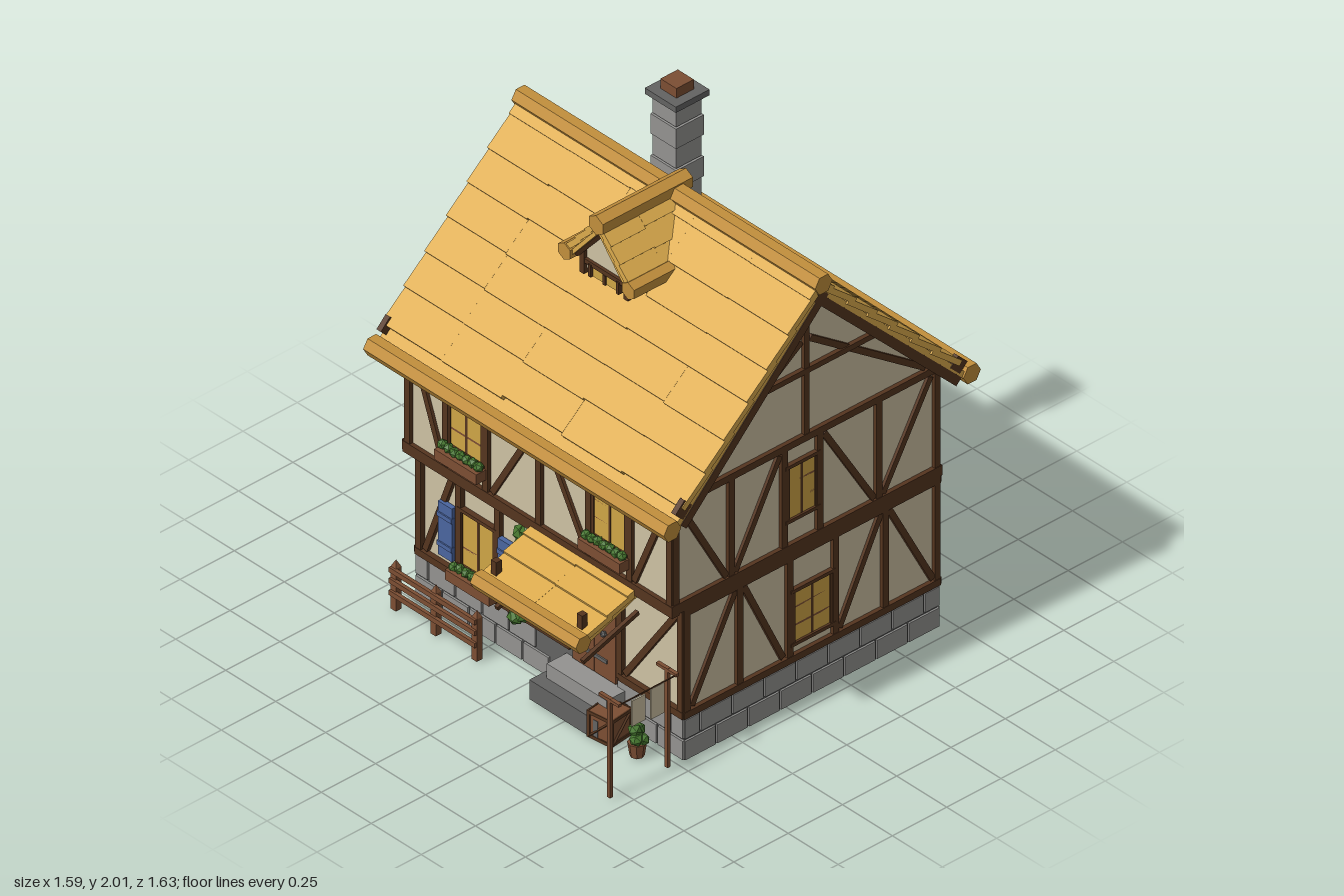
import * as THREE from 'three';

const mat = (name, color) => Object.assign(new THREE.MeshStandardMaterial({ color, flatShading: true }), { name });
const M = {
  thatch: mat('roof boards', 0xdcab4d), trim: mat('roof trim', 0xc28f3c), plaster: mat('plaster', 0xcdc1a3),
  timber: mat('dark timber', 0x55351f), wood: mat('brown wood', 0x7c4e33), stone: mat('stone', 0x939290),
  dark: mat('dark stone', 0x636362), leaf: mat('leaf', 0x47782f), blue: mat('shutter blue', 0x4a659f),
  glass: mat('window glow', 0xcfa546),
};
const CX = 0.033, RZ = -0.085;

let seed = 7;
const rnd = () => (seed = (seed * 16807) % 2147483647) / 2147483647;

function add(parent, name, geo, m, x = 0, y = 0, z = 0) {
  const mesh = new THREE.Mesh(geo, m);
  mesh.name = name;
  mesh.position.set(x, y, z);
  parent.add(mesh);
  return mesh;
}
const box = (p, name, m, w, h, d, x, y, z) => add(p, name, new THREE.BoxGeometry(w, h, d), m, x, y, z);
function group(parent, name, x = 0, y = 0, z = 0, ry = 0) {
  const g = new THREE.Group();
  g.name = name;
  g.position.set(x, y, z);
  g.rotation.y = ry;
  parent.add(g);
  return g;
}
// square bar between two points
function bar(p, name, m, a, b, w, d = w) {
  const A = new THREE.Vector3(...a), B = new THREE.Vector3(...b);
  const mesh = box(p, name, m, w, d, A.distanceTo(B), 0, 0, 0);
  mesh.position.copy(A).add(B).multiplyScalar(0.5);
  mesh.quaternion.setFromUnitVectors(new THREE.Vector3(0, 0, 1), B.sub(A).normalize());
  return mesh;
}
// six-sided log along x or z
function log(p, name, r, len, x, y, z, axis) {
  const geo = new THREE.CylinderGeometry(r, r, len, 6);
  if (axis === 'x') geo.rotateZ(Math.PI / 2); else geo.rotateX(Math.PI / 2);
  return add(p, name, geo, M.trim, x, y, z);
}
function leaves(p, x, y, z, r) {
  const l = add(p, 'leaves', new THREE.IcosahedronGeometry(r, 0), M.leaf, x, y, z);
  l.rotation.set(rnd() * 3, rnd() * 3, rnd() * 3);
}
// overlapping board courses; local +z runs down the slope
function courses(p, edges, bottoms, len, lift = 0.012) {
  for (const s of bottoms) for (let i = 0; i + 1 < edges.length; i++) {
    const L = Math.min(len, s + 0.01), e = s + (rnd() - 0.5) * 0.012;
    const b = box(p, 'roofBoard', M.thatch, edges[i + 1] - edges[i], 0.022, L, (edges[i] + edges[i + 1]) / 2, lift - 0.012, e - L / 2);
    b.rotation.x = -0.09;
  }
}

// ---- facade parts: local x along the wall, z outward
const post = (g, x, y0, y1, w = 0.027) => box(g, 'post', M.timber, w, y1 - y0, 0.03, x, (y0 + y1) / 2, 0);
const rail = (g, x0, x1, y, h = 0.028, d = 0.034) => box(g, 'rail', M.timber, x1 - x0, h, d, (x0 + x1) / 2, y, 0);
function brace(g, x0, y0, x1, y1) {
  const b = box(g, 'brace', M.timber, Math.hypot(x1 - x0, y1 - y0), 0.024, 0.024, (x0 + x1) / 2, (y0 + y1) / 2, 0);
  b.rotation.z = Math.atan2(y1 - y0, x1 - x0);
}
function windowUnit(g, x, y, w, h) {
  const win = group(g, 'window', x, y, 0);
  box(win, 'glass', M.glass, w, h, 0.008, 0, 0, 0.004);
  for (const s of [-1, 1]) {
    box(win, 'frameSide', M.timber, 0.012, h, 0.026, s * w / 2, 0, 0);
    box(win, 'frameRail', M.timber, w + 0.03, 0.014, 0.034, 0, s * h / 2, 0);
  }
  box(win, 'mullion', M.timber, 0.011, h, 0.018, 0, 0, 0);
  for (const f of [-0.17, 0.17]) box(win, 'glazingBar', M.wood, w, 0.008, 0.016, 0, f * h, 0);
}
function planter(g, x, y, w) {
  box(g, 'planter', M.wood, w, 0.042, 0.05, x, y, 0.035);
  for (let i = 0; i < 7; i++) leaves(g, x - w / 2 + (i + 0.5) * w / 7, y + 0.028 + rnd() * 0.01, 0.035, 0.02);
}

function buildWalls(root) {
  box(root, 'foundation', M.dark, 1.335, 0.175, 1.165, CX, 0.0875, -0.11);
  box(root, 'lowerWalls', M.plaster, 1.32, 0.46, 1.15, CX, 0.4, -0.11);
  const s = new THREE.Shape([[-0.52, 0.62], [0.69, 0.62], [0.69, 1.09], [0.085, 1.69], [-0.52, 1.09]].map(a => new THREE.Vector2(...a)));
  add(root, 'upperWalls', new THREE.ExtrudeGeometry(s, { depth: 1.32, bevelEnabled: false }).rotateY(Math.PI / 2), M.plaster, CX - 0.66, 0, 0);

  // stone blocks in two rows on each side
  const rows = (g, x0, x1, skip) => [0, 1].forEach(r => {
    const n = Math.round((x1 - x0) / 0.14), w = (x1 - x0) / n;
    for (let i = 0; i < n + r; i++) {
      const a = Math.max(x0, x0 + (i - r / 2) * w), b = Math.min(x1, x0 + (i + 1 - r / 2) * w);
      if (skip && a > -0.06 && b < 0.42) continue;
      box(g, 'stoneBlock', M.stone, b - a - 0.009, 0.077, 0.02, (a + b) / 2, 0.042 + r * 0.087, 0);
    }
  });
  rows(group(root, 'frontStones', 0, 0, 0.471), -0.64, 0.706, true);
  rows(group(root, 'backStones', 0, 0, -0.691, Math.PI), -0.706, 0.64);
  rows(group(root, 'rightStones', 0.698, 0, 0, Math.PI / 2), -0.478, 0.7);
  rows(group(root, 'leftStones', -0.632, 0, 0, -Math.PI / 2), -0.7, 0.478);

  // front, lower storey
  const fl = group(root, 'frontLower', 0, 0, 0.47);
  [-0.62, -0.42, -0.225, 0.14, 0.385, 0.69].forEach(x => post(fl, x, 0.18, 0.61));
  rail(fl, -0.635, 0.14, 0.187); rail(fl, 0.385, 0.705, 0.187); rail(fl, -0.635, 0.705, 0.61);
  rail(fl, 0.14, 0.385, 0.49);
  brace(fl, -0.59, 0.21, -0.45, 0.59); brace(fl, -0.2, 0.21, 0.05, 0.59); brace(fl, 0.41, 0.21, 0.67, 0.59);
  windowUnit(fl, -0.325, 0.355, 0.165, 0.23);
  planter(fl, -0.325, 0.21, 0.22);
  for (const x of [-0.475, -0.175]) {
    box(fl, 'shutter', M.blue, 0.07, 0.22, 0.02, x, 0.35, 0.014);
    for (const y of [0.29, 0.41]) box(fl, 'shutterBatten', M.blue, 0.074, 0.018, 0.03, x, y, 0.014);
  }
  // front, upper storey
  const fu = group(root, 'frontUpper', 0, 0, 0.52);
  [-0.62, -0.43, -0.23, 0.035, 0.285, 0.49, 0.69].forEach(x => post(fu, x, 0.65, 1.08));
  rail(fu, -0.64, 0.71, 0.64, 0.045); rail(fu, -0.635, 0.705, 1.075);
  brace(fu, -0.59, 1.05, -0.45, 0.67); brace(fu, -0.2, 0.67, 0.02, 1.05);
  brace(fu, 0.055, 1.05, 0.27, 0.67); brace(fu, 0.51, 0.67, 0.67, 1.05);
  for (const x of [-0.33, 0.387]) {
    windowUnit(fu, x, 0.87, 0.165, 0.225);
    planter(fu, x, 0.732, 0.21);
  }
  // back, both storeys
  const bk = group(root, 'back', 0, 0, -0.69, Math.PI);
  for (const [y0, y1] of [[0.18, 0.61], [0.65, 1.08]]) {
    for (const x of [-0.655, -0.4, -0.11, 0.11, 0.4, 0.655]) post(bk, x - CX, y0, y1);
    for (const m of [-1, 1]) {
      brace(bk, m * 0.63 - CX, y0 + 0.03, m * 0.42 - CX, y1 - 0.03);
      brace(bk, m * 0.38 - CX, y1 - 0.03, m * 0.13 - CX, y0 + 0.03);
    }
    windowUnit(bk, -CX, (y0 + y1) / 2 - 0.02, 0.175, 0.22);
  }
  [0.187, 0.61, 1.075].forEach(y => rail(bk, -0.705, 0.635, y));
  rail(bk, -0.71, 0.64, 0.645, 0.042);

  // both gable ends; m turns world z into local x
  for (const m of [-1, 1]) {
    const right = m < 0;
    const g = group(root, right ? 'rightSide' : 'leftSide', right ? 0.693 : -0.627, 0, 0, -m * Math.PI / 2);
    const B = (z0, y0, z1, y1) => brace(g, m * z0, y0, m * z1, y1);
    const R = (z0, z1, y, h) => rail(g, Math.min(m * z0, m * z1), Math.max(m * z0, m * z1), y, h);
    [0.465, 0.22, -0.01, -0.22, -0.45, -0.688].forEach(z => post(g, m * z, 0.18, 0.61));
    [0.515, 0.26, 0.015, -0.148, -0.42, -0.688].forEach(z => post(g, m * z, 0.65, 1.08));
    R(0.48, -0.7, 0.187); R(0.48, -0.7, 0.61); R(0.535, -0.705, 0.645, 0.042); R(0.53, -0.7, 1.075);
    B(0.44, 0.21, 0.24, 0.59); B(0.2, 0.59, 0.02, 0.21); B(-0.24, 0.21, -0.43, 0.59); B(-0.47, 0.59, -0.67, 0.21);
    B(0.49, 1.05, 0.28, 0.67); B(0.24, 0.67, 0.035, 1.05); B(-0.17, 1.05, -0.4, 0.67); B(-0.44, 0.67, -0.66, 1.05);
    windowUnit(g, m * -0.115, 0.355, 0.175, 0.22);
    windowUnit(g, m * -0.067, 0.875, 0.13, 0.225);
    // gable truss
    post(g, m * RZ, 1.08, 1.69, 0.022);
    R(0.26, -0.43, 1.35, 0.022);
    for (const k of [-1, 1]) {
      B(RZ + k * 0.55, 1.1, RZ + k * 0.02, 1.475);
      B(RZ + k * 0.6, 1.07, RZ, 1.675);
    }
    if (!right) {
      planter(g, -0.115, 0.21, 0.22);
      windowUnit(g, RZ, 1.24, 0.13, 0.17);
      // ivy beside the windows
      for (const [z, y, h] of [[-0.067, 0.875, 0.2], [-0.115, 0.36, 0.18], [RZ, 1.24, 0.14]])
        for (const k of [-1, 1]) for (let i = 0; i < 5; i++) leaves(g, z + k * (0.1 + rnd() * 0.02), y - h / 2 + i * h / 4, 0.012, 0.025);
    }
  }
}

function buildRoof(root) {
  const roof = group(root, 'roof', CX, 1.75, RZ);
  for (const ry of [0, Math.PI]) {
    const side = group(group(roof, 'roofHalf', 0, 0, 0, ry), 'roofSlope');
    side.rotation.x = 0.789;
    box(side, 'roofDeck', M.thatch, 1.49, 0.03, 0.96, 0, -0.025, 0.48);
    courses(side, [-0.752, -0.45, -0.15, 0.15, 0.45, 0.752], [0.9, 0.762, 0.623, 0.484, 0.346, 0.207, 0.07], 0.17);
    for (const x of [-0.735, 0.735]) box(side, 'bargeRafter', M.timber, 0.025, 0.035, 0.93, x, -0.05, 0.485);
    box(side, 'rafterEnd', M.timber, 0.022, 0.05, 0.06, -0.737, 0, 0.9);
    box(side, 'rafterEnd', M.timber, 0.022, 0.05, 0.06, 0.737, 0, 0.9);
  }
  log(roof, 'ridgeLog', 0.04, 1.52, 0, 0, 0, 'x');
  for (const s of [-1, 1]) log(roof, 'eaveLog', 0.04, 1.505, 0, -0.7, s * 0.69, 'x');

  // dormer
  const d = group(root, 'dormer', CX, 1.77, 0);
  log(d, 'dormerRidge', 0.04, 0.415, 0, 0, 0.058, 'z');
  for (const s of [-1, 1]) {
    log(d, 'dormerEave', 0.035, 0.2, s * 0.16, -0.19, 0.165, 'z');
    const side = group(group(d, 'dormerHalf', 0, 0, 0.1, s * Math.PI / 2), 'dormerSlope');
    side.rotation.x = 0.871;
    courses(side, [-0.16, 0, 0.16], [0.235, 0.16, 0.085], 0.1, 0.015);
    box(side, 'dormerDeck', M.thatch, 0.31, 0.015, 0.235, 0, -0.018, 0.118);
    bar(d, 'dormerRafter', M.timber, [s * 0.135, -0.2, 0.232], [0, -0.045, 0.232], 0.018);
    box(d, 'dormerPost', M.timber, 0.022, 0.11, 0.03, s * 0.11, -0.215, 0.215);
    box(d, 'dormerWindowPost', M.timber, 0.014, 0.05, 0.02, s * 0.07, -0.24, 0.222);
  }
  const tri = new THREE.Shape([[-0.12, -0.25], [0.12, -0.25], [0.12, -0.18], [0, -0.04], [-0.12, -0.18]].map(a => new THREE.Vector2(...a)));
  add(d, 'dormerWall', new THREE.ExtrudeGeometry(tri, { depth: 0.25, bevelEnabled: false }), M.plaster, 0, 0, -0.035);
  box(d, 'dormerRail', M.timber, 0.23, 0.018, 0.025, 0, -0.215, 0.215);
  box(d, 'dormerGlass', M.glass, 0.12, 0.035, 0.008, 0, -0.245, 0.219);
  box(d, 'dormerMullion', M.timber, 0.012, 0.04, 0.02, 0, -0.245, 0.219);

  // chimney
  const c = group(root, 'chimney', -0.175, 0, -0.3);
  for (let i = 0; i < 6; i++) {
    const w = i % 2 ? 0.118 : 0.128;
    box(c, 'chimneyCourse', M.stone, w, 0.082, w, 0, 1.47 + i * 0.086, 0);
  }
  box(c, 'chimneyCore', M.dark, 0.108, 0.5, 0.108, 0, 1.69, 0);
  box(c, 'chimneyCap', M.dark, 0.155, 0.024, 0.155, 0, 1.948, 0);
  box(c, 'chimneyPot', M.wood, 0.08, 0.042, 0.08, 0, 1.979, 0);
}

function buildEntrance(root) {
  const e = group(root, 'entrance');
  for (let i = 0; i < 4; i++) box(e, 'doorPlank', M.wood, 0.053, 0.335, 0.02, 0.182 + i * 0.054, 0.315, 0.475);
  for (const y of [0.22, 0.43]) box(e, 'hinge', M.dark, 0.16, 0.014, 0.008, 0.25, y, 0.487);
  add(e, 'doorKnob', new THREE.IcosahedronGeometry(0.013, 0), M.dark, 0.32, 0.335, 0.495);
  box(e, 'upperStep', M.stone, 0.3, 0.06, 0.1, 0.262, 0.11, 0.515);
  box(e, 'lowerStep', M.dark, 0.34, 0.08, 0.15, 0.25, 0.04, 0.54);

  // canopy
  const c = group(e, 'canopy', 0.26, 0.645, 0.475);
  c.rotation.x = 0.37;
  courses(c, [-0.26, 0, 0.26], [0.3, 0.2, 0.1], 0.13, 0.015);
  box(c, 'canopyDeck', M.thatch, 0.51, 0.02, 0.3, 0, -0.015, 0.15);
  log(e, 'canopyLog', 0.036, 0.53, 0.26, 0.53, 0.775, 'x');
  for (const x of [0.045, 0.475]) {
    box(e, 'canopyPeg', M.timber, 0.026, 0.11, 0.026, x, 0.56, 0.735);
    bar(e, 'canopyStrut', M.timber, [x, 0.415, 0.735], [x, 0.5, 0.48], 0.016);
  }
  // lantern
  box(e, 'lanternGlass', M.glass, 0.032, 0.05, 0.032, 0.06, 0.455, 0.54);
  add(e, 'lanternCap', new THREE.CylinderGeometry(0.005, 0.028, 0.025, 4), M.dark, 0.06, 0.492, 0.54);
  box(e, 'lanternBase', M.dark, 0.038, 0.008, 0.038, 0.06, 0.43, 0.54);
  // climbing vine
  for (let i = 0; i < 14; i++) leaves(e, -0.065 - 0.03 * (1 - i / 13) + (i % 2 - 0.5) * 0.035, 0.19 + i * 0.03, 0.5, 0.026 + rnd() * 0.01);
}

function crate(root, x, z, s, ry) {
  const g = group(root, 'crate', x, s / 2, z, ry);
  box(g, 'crateBody', M.wood, s * 0.94, s * 0.96, s * 0.94, 0, 0, 0);
  for (let k = 0; k < 4; k++) {
    const f = group(g, 'crateSide', 0, 0, 0, k * Math.PI / 2), h = s * 0.44;
    for (const t of [-1, 1]) {
      box(f, 'crateRail', M.timber, s, s * 0.12, s * 0.05, 0, t * h, s * 0.48);
      box(f, 'crateStile', M.timber, s * 0.12, s, s * 0.05, t * h, 0, s * 0.48);
    }
    bar(f, 'crateBrace', M.timber, [-h, -h, s * 0.475], [h, h, s * 0.475], s * 0.03, s * 0.1);
  }
}

function buildYard(root) {
  const y = group(root, 'yard');
  // fence
  for (const x of [-0.62, -0.42, -0.215]) {
    box(y, 'fencePost', M.wood, 0.026, 0.175, 0.026, x, 0.0875, 0.585);
    add(y, 'fencePoint', new THREE.ConeGeometry(0.0184, 0.028, 4).rotateY(Math.PI / 4), M.wood, x, 0.189, 0.585);
  }
  for (const h of [0.07, 0.12, 0.165]) box(y, 'fenceRail', M.wood, 0.43, 0.02, 0.014, -0.418, h, 0.6);
  crate(y, -0.725, 0.215, 0.1, 0.5);
  crate(y, 0.422, 0.56, 0.11, 0.12);
  // potted plant and bush
  add(y, 'pot', new THREE.CylinderGeometry(0.034, 0.026, 0.055, 8), M.wood, 0.57, 0.0275, 0.57);
  for (let i = 0; i < 5; i++) leaves(y, 0.57 + (rnd() - 0.5) * 0.03, 0.065 + i * 0.011, 0.57 + (rnd() - 0.5) * 0.03, 0.026);
  for (const [x, h, z] of [[-0.735, 0.035, -0.28], [-0.69, 0.04, -0.25], [-0.69, 0.03, -0.32]]) leaves(y, x, h, z, 0.042);
  // washing line
  for (const z of [0.805, 0.54]) {
    box(y, 'linePost', M.wood, 0.015, 0.41, 0.015, 0.69, 0.205, z);
    box(y, 'lineArm', M.wood, 0.1, 0.012, 0.015, 0.69, 0.403, z);
  }
  box(y, 'line', M.timber, 0.004, 0.004, 0.265, 0.733, 0.4, 0.672);
  box(y, 'cloth', M.plaster, 0.006, 0.105, 0.062, 0.733, 0.338, 0.715);
  box(y, 'cloth', M.plaster, 0.006, 0.125, 0.062, 0.733, 0.336, 0.628);
}

export function createModel() {
  const root = new THREE.Group();
  root.name = 'timberHouse';
  buildWalls(root);
  buildRoof(root);
  buildEntrance(root);
  buildYard(root);
  return root;
}
